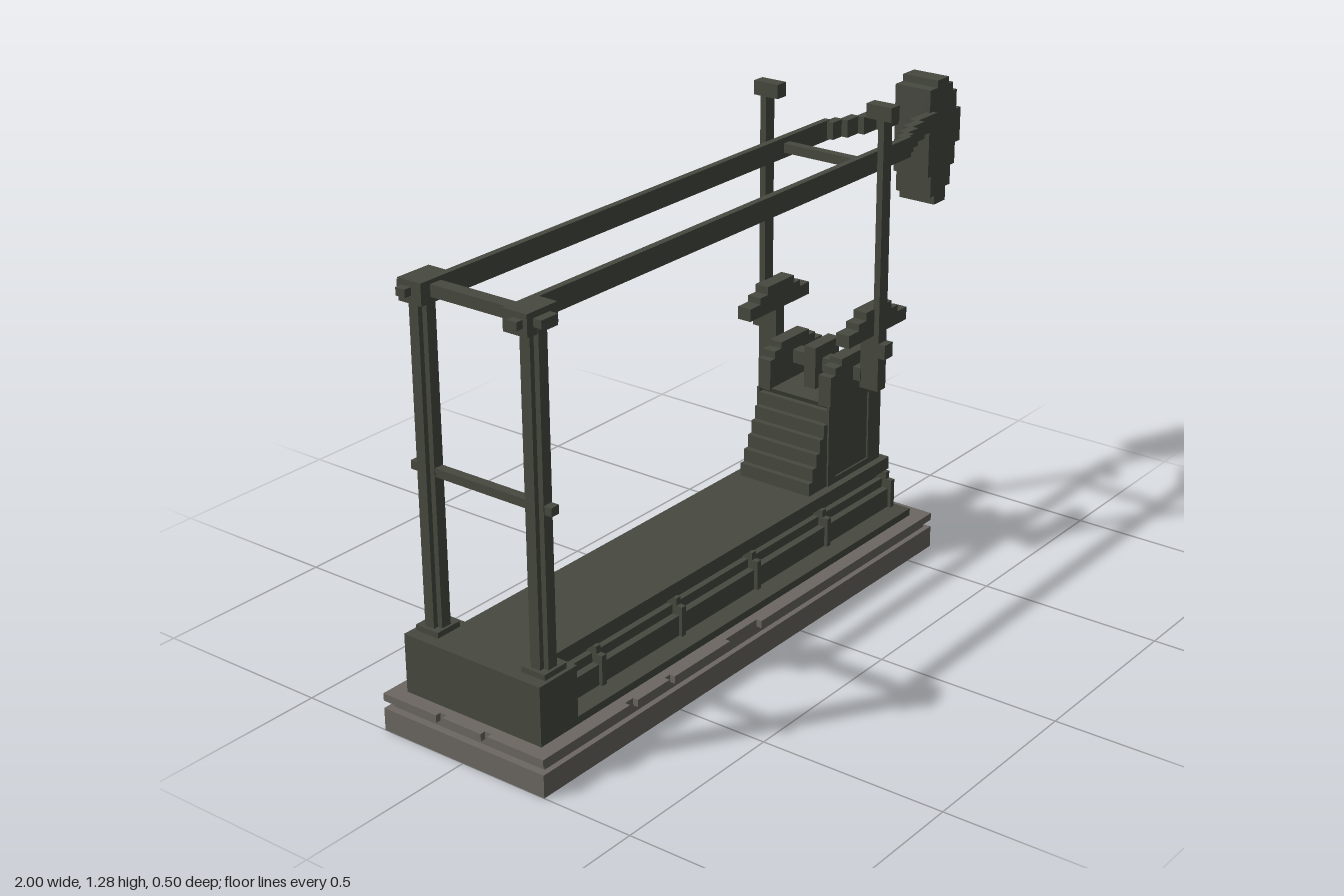
import * as THREE from 'three';

export function createModel() {
  const model = new THREE.Group();
  const iron = new THREE.MeshStandardMaterial({ color: 0x474a40 });
  iron.name = 'dark iron';
  const stone = new THREE.MeshStandardMaterial({ color: 0x6c6762 });
  stone.name = 'grey stone';

  const add = (name, geometry, material = iron) => {
    const mesh = new THREE.Mesh(geometry, material);
    mesh.name = name;
    model.add(mesh);
    return mesh;
  };
  // Box given by its limits on each axis
  const box = (name, x0, x1, y0, y1, z0, z1, material) => {
    const g = new THREE.BoxGeometry(x1 - x0, y1 - y0, z1 - z0);
    g.translate((x0 + x1) / 2, (y0 + y1) / 2, (z0 + z1) / 2);
    return add(name, g, material);
  };
  // Same box on both sides of the centre line
  const pair = (name, x0, x1, y0, y1, z0, z1) => {
    box(name + 'Left', x0, x1, y0, y1, z0, z1);
    box(name + 'Right', x0, x1, y0, y1, -z1, -z0);
  };
  const shapeOf = pts => new THREE.Shape(pts.map(p => new THREE.Vector2(p[0], p[1])));
  const slab = (pts, depth) => new THREE.ExtrudeGeometry(shapeOf(pts), { depth, bevelEnabled: false });
  // Side profile in x and y, extruded from z0 to z1
  const profile = (name, pts, z0, z1) => add(name, slab(pts, z1 - z0).translate(0, 0, z0));

  // Stone plinth with a chipped rim
  box('plinth', -1, 0.61, 0, 0.06, -0.25, 0.25, stone);
  box('plinthNeck', -0.98, 0.595, 0.06, 0.08, -0.235, 0.235, stone);
  const rim = [];
  const chip = 0.015;
  rim.push([-1, -0.25]);
  for (const [a, b] of [[-0.69, -0.66], [-0.54, -0.52], [-0.3, -0.17]])
    rim.push([a, -0.25], [a, -0.25 + chip], [b, -0.25 + chip], [b, -0.25]);
  rim.push([0.61, -0.25]);
  for (const [a, b] of [[-0.07, -0.05], [0.13, 0.15]])
    rim.push([0.61, a], [0.61 - chip, a], [0.61 - chip, b], [0.61, b]);
  rim.push([0.61, 0.25]);
  for (const [a, b] of [[0.07, 0.05], [-0.2, -0.3], [-0.46, -0.6]])
    rim.push([a, 0.25], [a, 0.25 - chip], [b, 0.25 - chip], [b, 0.25]);
  rim.push([-1, 0.25]);
  for (const [a, b] of [[0.08, 0.06], [-0.06, -0.08]])
    rim.push([-1, a], [-1 + chip, a], [-1 + chip, b], [-1, b]);
  add('plinthRim', slab(rim, 0.02).rotateX(-Math.PI / 2).translate(0, 0.08, 0), stone);

  // Moulded bed, profile in z and y run along x
  const half = [[0.21, 0.1], [0.21, 0.12], [0.155, 0.12], [0.155, 0.175], [0.135, 0.175],
    [0.135, 0.2], [0.118, 0.2], [0.118, 0.22], [0.137, 0.22], [0.137, 0.255]];
  const bed = [...half, ...half.map(([z, y]) => [-z, y]).reverse()];
  add('bed', slab(bed, 1.395).rotateY(Math.PI / 2).translate(-0.83, 0, 0));
  box('rearBlock', -0.96, -0.83, 0.1, 0.255, -0.21, 0.21);
  for (const x of [-0.68, -0.375, -0.065, 0.245, 0.545]) {
    pair('bedRibUpper', x - 0.008, x + 0.008, 0.175, 0.22, 0.118, 0.148);
    pair('bedRibLower', x - 0.008, x + 0.008, 0.12, 0.2, 0.13, 0.165);
  }

  // Rear posts with a grooved cross section
  pair('rearPostWeb', -0.92, -0.865, 0.255, 1.1, 0.151, 0.178);
  pair('rearPostFlange', -0.907, -0.878, 0.255, 1.1, 0.137, 0.192);
  pair('rearPostFoot', -0.93, -0.855, 0.255, 0.27, 0.13, 0.2);
  box('rearCrossbar', -0.905, -0.88, 0.66, 0.682, -0.213, 0.213);
  pair('rearPostCap', -0.94, -0.84, 1.09, 1.145, 0.137, 0.19);
  pair('rearPostCapPin', -0.96, -0.825, 1.11, 1.13, 0.15, 0.178);
  pair('rearPostCapPlate', -0.92, -0.865, 1.11, 1.13, 0.137, 0.213);
  box('rearTopBar', -0.91, -0.875, 1.105, 1.135, -0.19, 0.19);

  // Twin beams converging on the head
  pair('beam', -0.94, 0.63, 1.09, 1.145, 0.12, 0.138);
  const joints = [0.62, 0.66, 0.71, 0.77, 0.86];
  for (let i = 0; i < 4; i++) {
    const z = 0.12 - i * 0.019;
    pair('beamArm', joints[i] - 0.005, joints[i + 1], 1.095, 1.143, z - 0.02, z + 0.006);
  }
  box('beamSpacer', 0.42, 0.445, 1.105, 1.13, -0.125, 0.125);

  // Stepped hammer head
  profile('head', [[0.88, 0.875], [0.935, 0.875], [0.935, 0.915], [0.957, 0.915], [0.957, 0.97],
    [0.977, 0.97], [0.977, 1.03], [1, 1.03], [1, 1.125], [0.977, 1.125], [0.977, 1.18],
    [0.957, 1.18], [0.957, 1.205], [0.935, 1.205], [0.935, 1.225], [0.88, 1.225], [0.88, 1.205],
    [0.845, 1.205], [0.845, 0.96], [0.86, 0.96], [0.86, 0.9], [0.88, 0.9]], -0.056, 0.056);

  // Tower core with a stair on its rear side
  const stair = [[0.53, 0.255], [0.53, 0.485], [0.315, 0.485]];
  for (let i = 6; i > 0; i--) {
    const x = 0.225 + (i - 1) * 0.016, y = 0.255 + i * 0.036;
    stair.push([x + 0.016, y], [x, y]);
  }
  stair.push([0.225, 0.255]);
  profile('towerCore', stair.reverse(), -0.112, 0.112);

  // Framed panels on the tower's end and flanks
  pair('endFrameOuter', 0.53, 0.547, 0.255, 0.485, 0.098, 0.117);
  box('endFrameMiddle', 0.53, 0.547, 0.255, 0.485, -0.018, 0.018);
  box('endFrameBottom', 0.53, 0.547, 0.255, 0.272, -0.117, 0.117);
  box('endFrameTop', 0.53, 0.547, 0.468, 0.485, -0.117, 0.117);
  pair('flankFrameFront', 0.49, 0.547, 0.255, 0.485, 0.11, 0.117);
  pair('flankFrameRear', 0.305, 0.34, 0.255, 0.485, 0.11, 0.117);
  pair('flankFrameBottom', 0.34, 0.49, 0.255, 0.272, 0.11, 0.117);
  pair('flankFrameTop', 0.34, 0.49, 0.468, 0.485, 0.11, 0.117);

  // Tower cheeks, centre bearing and axle
  const cheek = [[0.31, 0.48], [0.547, 0.48], [0.547, 0.565], [0.515, 0.565], [0.515, 0.585],
    [0.485, 0.585], [0.485, 0.602], [0.36, 0.602], [0.36, 0.585], [0.33, 0.585], [0.33, 0.565], [0.31, 0.565]];
  profile('cheekLeft', cheek, 0.078, 0.117);
  profile('cheekRight', cheek, -0.117, -0.078);
  box('centreBearing', 0.38, 0.49, 0.48, 0.602, -0.018, 0.018);
  box('axle', 0.412, 0.452, 0.528, 0.565, -0.14, 0.14);

  // Upright rods with brackets and caps
  pair('rodBracket', 0.415, 0.452, 0.51, 0.67, 0.137, 0.18);
  pair('rod', 0.415, 0.452, 0.51, 1.25, 0.175, 0.193);
  pair('rodLug', 0.415, 0.452, 0.605, 0.645, 0.19, 0.213);
  pair('rodCap', 0.415, 0.452, 1.247, 1.285, 0.138, 0.214);

  // Stepped wings beside the rods
  const wing = [[0.3, 0.665], [0.567, 0.665], [0.567, 0.7], [0.525, 0.7], [0.525, 0.718],
    [0.495, 0.718], [0.495, 0.74], [0.378, 0.74], [0.378, 0.718], [0.345, 0.718], [0.345, 0.7], [0.3, 0.7]];
  profile('wingLeft', wing, 0.137, 0.178);
  profile('wingRight', wing, -0.178, -0.137);

  return model;
}
